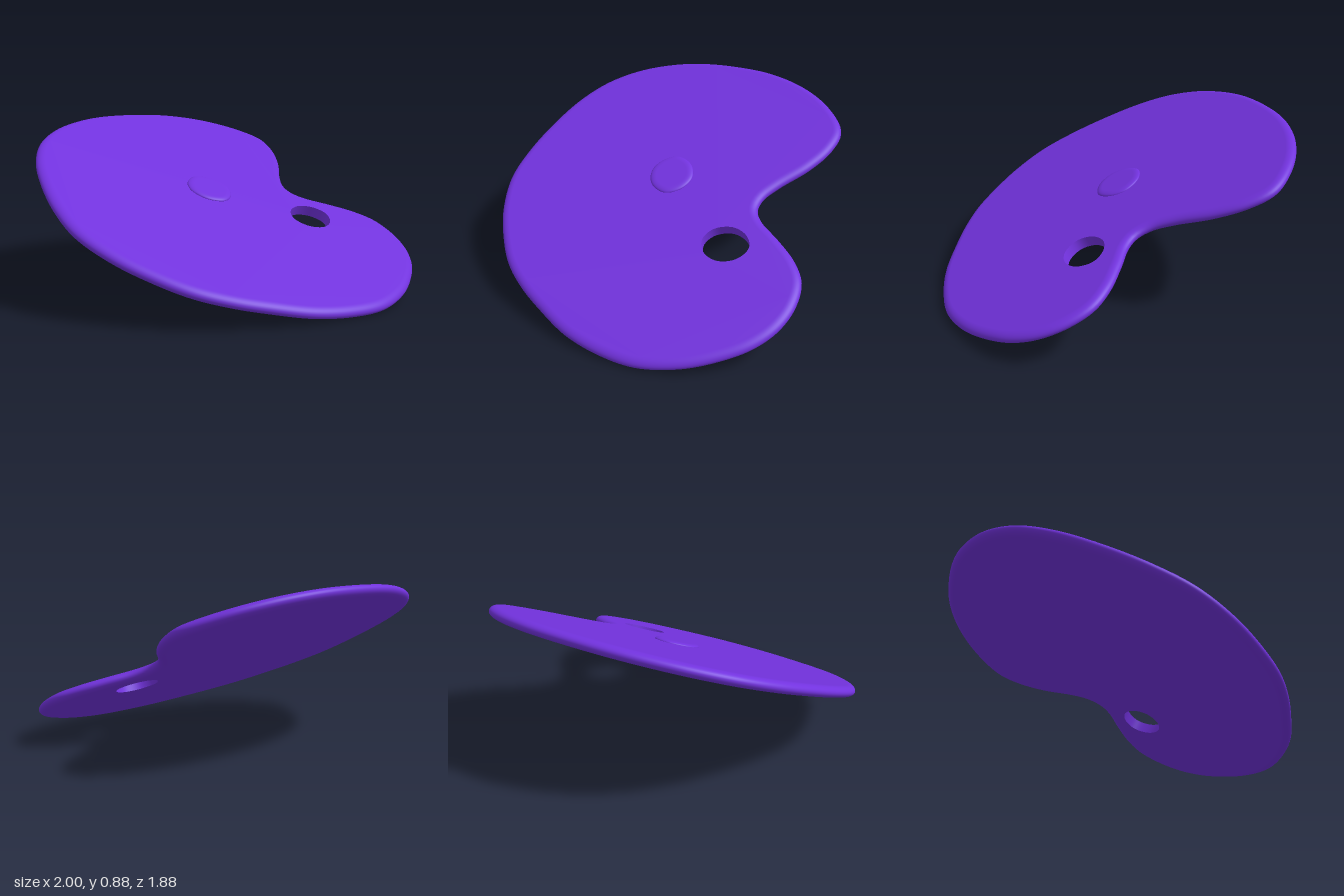
import * as THREE from 'three';

const HALF = 0.029; // half the board thickness
const SLOPE_X = -0.31, SLOPE_Z = -0.33; // tilt of the board
const NORMAL = new THREE.Vector3(-SLOPE_X, 1, -SLOPE_Z).normalize();
const TILT = new THREE.Quaternion().setFromUnitVectors(new THREE.Vector3(0, 1, 0), NORMAL);

// Plan positions (x, z), clockwise seen from above
const OUTLINE = [
  -0.02, -0.945, 0.165, -0.91, 0.245, -0.80, 0.285, -0.64, 0.295, -0.45, 0.315, -0.345,
  0.36, -0.29, 0.43, -0.275, 0.567, -0.293, 0.715, -0.302, 0.835, -0.275, 0.93, -0.185,
  0.985, -0.065, 0.997, 0.07, 0.97, 0.215, 0.905, 0.39, 0.79, 0.565, 0.645, 0.69,
  0.46, 0.80, 0.245, 0.875, 0.085, 0.917, -0.085, 0.938, -0.26, 0.92, -0.45, 0.87,
  -0.635, 0.77, -0.77, 0.62, -0.893, 0.415, -0.968, 0.233, -1, 0.04, -0.973, -0.158,
  -0.898, -0.34, -0.797, -0.495, -0.635, -0.665, -0.45, -0.81, -0.235, -0.91,
];
const HOLE = [
  0.355, -0.04, 0.40, -0.125, 0.48, -0.16, 0.55, -0.14, 0.572, -0.06,
  0.53, 0.025, 0.45, 0.062, 0.375, 0.035,
];
const BUTTON = [
  -0.205, 0.01, -0.18, -0.075, -0.09, -0.113, 0, -0.08, 0.03, 0, 0, 0.085, -0.09, 0.12, -0.175, 0.085,
];

// Smooth closed loop in the board's own plane; height is the level the plan was taken at
function loop(plan, height, samples) {
  const inverse = TILT.clone().invert();
  const points = [];
  for (let i = 0; i < plan.length; i += 2) {
    const [x, z] = [plan[i], plan[i + 1]];
    const y = SLOPE_X * x + SLOPE_Z * z + height / NORMAL.y;
    const p = new THREE.Vector3(x, y, z).applyQuaternion(inverse);
    points.push(p.setY(0));
  }
  const curve = new THREE.CatmullRomCurve3(points, true);
  return curve.getSpacedPoints(samples).slice(0, samples);
}

// Outward direction at each point of a clockwise loop
function outward(points) {
  const n = points.length;
  return points.map((p, i) => {
    const t = points[(i + 1) % n].clone().sub(points[(i + n - 1) % n]).normalize();
    return new THREE.Vector3(t.z, 0, -t.x);
  });
}

const offset = (points, d) => {
  const out = outward(points);
  return points.map((p, i) => p.clone().addScaledVector(out[i], d));
};

// Sweeps a profile of [offset, height, normalOut, normalUp] around a loop
function band(points, profile) {
  const n = points.length, out = outward(points);
  const position = [], normal = [], index = [];
  profile.forEach(([d, y, nOut, nUp], j) => {
    points.forEach((p, i) => {
      position.push(p.x + out[i].x * d, y, p.z + out[i].z * d);
      const v = out[i].clone().multiplyScalar(nOut).setY(nUp).normalize();
      normal.push(v.x, v.y, v.z);
      if (j === 0) return;
      const k = (i + 1) % n, lo = (j - 1) * n, hi = j * n;
      index.push(lo + i, hi + i, hi + k, lo + i, hi + k, lo + k);
    });
  });
  const g = new THREE.BufferGeometry();
  g.setAttribute('position', new THREE.Float32BufferAttribute(position, 3));
  g.setAttribute('normal', new THREE.Float32BufferAttribute(normal, 3));
  g.setIndex(index);
  return g;
}

// Flat face filling a loop, facing up (side 1) or down (side -1)
function cap(points, y, side, hole) {
  const flat = (pts) => pts.map((p) => new THREE.Vector2(p.x, -side * p.z));
  const shape = new THREE.Shape(flat(points));
  if (hole) shape.holes.push(new THREE.Path(flat(hole)));
  return new THREE.ShapeGeometry(shape).rotateX(-side * Math.PI / 2).translate(0, y, 0);
}

// Elliptical rounded edge from one angle to another
function roundEdge(width, height, base, from, steps) {
  const profile = [];
  for (let i = 0; i <= steps; i++) {
    const a = from + (Math.PI / 2 - from) * i / steps;
    const c = Math.cos(a), s = Math.sin(a);
    profile.push([width * (c - 1), base + height * s, c / width, s / height]);
  }
  return profile;
}

export function createModel() {
  const purple = new THREE.MeshStandardMaterial({ color: 0x7232de });
  purple.name = 'purple';
  const board = new THREE.Group();
  board.name = 'board';
  const add = (name, geometry) => {
    const mesh = new THREE.Mesh(geometry, purple);
    mesh.name = name;
    board.add(mesh);
  };

  // Board with a rounded rim
  const edge = loop(OUTLINE, 0, 240);
  const hole = loop(HOLE, HALF, 64);
  const rim = 0.045;
  const face = offset(edge, -rim);
  add('rim', band(edge, roundEdge(rim, HALF, 0, -Math.PI / 2, 16)));
  add('topFace', cap(face, HALF, 1, hole));
  add('bottomFace', cap(face, -HALF, -1, hole));

  // Thumb hole, walls facing inward
  add('thumbHole', band([...hole].reverse(), [[0, -HALF, 1, 0], [0, HALF, 1, 0]]));

  // Low raised button on the top face
  const button = loop(BUTTON, HALF, 64);
  const soft = 0.035, rise = 0.013;
  add('buttonEdge', band(button, roundEdge(soft, rise, HALF, 0, 8)));
  add('buttonTop', cap(offset(button, -soft), HALF + rise, 1));

  // Tilt the board and rest its lowest edge on the ground
  board.quaternion.copy(TILT);
  const model = new THREE.Group();
  model.name = 'palette';
  model.add(board);
  model.updateMatrixWorld(true);
  board.position.y = -new THREE.Box3().setFromObject(model, true).min.y;
  return model;
}
